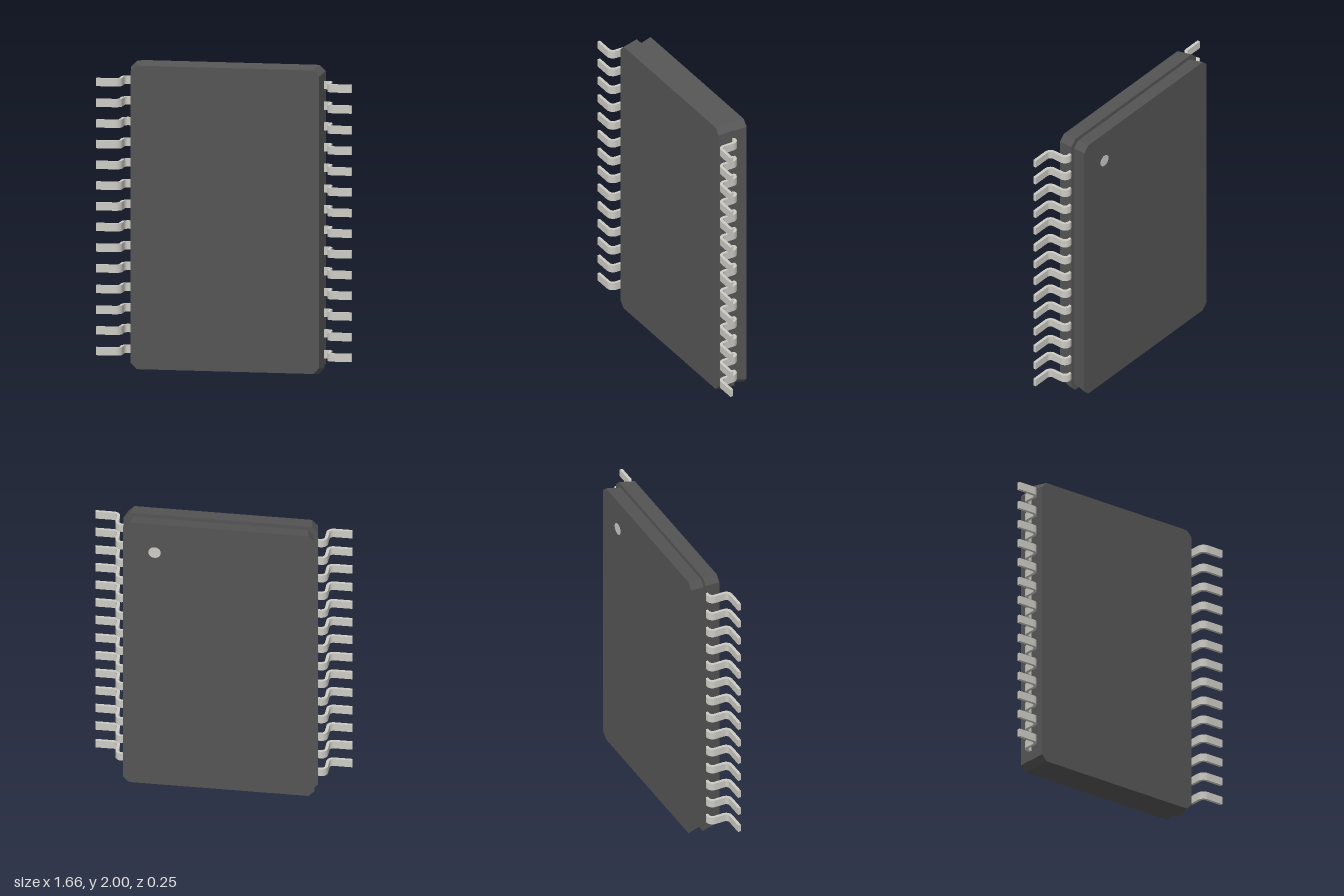
import * as THREE from 'three';

const bodyMat = new THREE.MeshStandardMaterial({ color: 0x555555 });
const metalMat = new THREE.MeshStandardMaterial({ color: 0xcccbc4 });

// Rectangle with cut corners, centred on the origin
function chamferedRect(hx, hy, c) {
  return new THREE.Shape([
    [hx, -hy + c], [hx, hy - c], [hx - c, hy], [-hx + c, hy],
    [-hx, hy - c], [-hx, -hy + c], [-hx + c, -hy], [hx - c, -hy],
  ].map(([x, y]) => new THREE.Vector2(x, y)));
}

// Slab from z0 to z1 whose sides move inward by the given insets at each end
function taperedSlab(name, z0, z1, inset0, inset1) {
  const hx = 0.63, hy = 1;
  const geo = new THREE.ExtrudeGeometry(chamferedRect(hx, hy, 0.04), { depth: z1 - z0, bevelEnabled: false });
  const p = geo.attributes.position;
  for (let i = 0; i < p.count; i++) {
    const inset = p.getZ(i) > (z1 - z0) / 2 ? inset1 : inset0;
    p.setX(i, p.getX(i) * (1 - inset / hx));
    p.setY(i, p.getY(i) * (1 - inset / hy));
  }
  geo.translate(0, 1, z0);
  geo.computeVertexNormals();
  const mesh = new THREE.Mesh(geo, bodyMat);
  mesh.name = name;
  return mesh;
}

// Gull-wing lead: bent strip profile in x and z, extruded along y
function leadGeometry(width) {
  const H = Math.PI / 2, inner = 0.025, outer = 0.045;
  const s = new THREE.Shape();
  s.moveTo(0.58, -0.03);
  s.absarc(0.643, 0.015, outer, -H, 0, false);
  s.absarc(0.713, 0.078, inner, 2 * H, H, true);
  s.lineTo(0.832, 0.103);
  s.lineTo(0.832, 0.123);
  s.absarc(0.713, 0.078, outer, H, 2 * H, false);
  s.absarc(0.643, 0.015, inner, 0, -H, true);
  s.lineTo(0.58, -0.01);
  const geo = new THREE.ExtrudeGeometry(s, { depth: width, bevelEnabled: false, curveSegments: 6 });
  geo.translate(0, 0, -width / 2);
  geo.rotateX(H);
  return geo;
}

export function createModel() {
  const model = new THREE.Group();
  model.name = 'chipPackage';

  // Moulded body in two halves that meet at the lead plane
  model.add(taperedSlab('bodyFront', -0.027, 0.08, 0, 0.016));
  model.add(taperedSlab('bodyBack', -0.125, -0.027, 0.01, 0.027));

  // Pin-one marker on the back face
  const marker = new THREE.Mesh(new THREE.CylinderGeometry(0.04, 0.04, 0.004, 32), metalMat);
  marker.name = 'pinMarker';
  marker.rotation.x = Math.PI / 2;
  marker.position.set(0.415, 1.775, -0.1245);
  model.add(marker);

  // Fourteen leads along each side
  const lead = leadGeometry(0.052);
  for (const side of ['left', 'right']) {
    const row = new THREE.Group();
    row.name = side + 'Leads';
    for (let i = 0; i < 14; i++) {
      const mesh = new THREE.Mesh(lead, metalMat);
      mesh.name = 'lead';
      mesh.position.y = 0.132 + i * 0.1342;
      if (side === 'right') mesh.rotation.z = Math.PI;
      row.add(mesh);
    }
    model.add(row);
  }
  return model;
}
